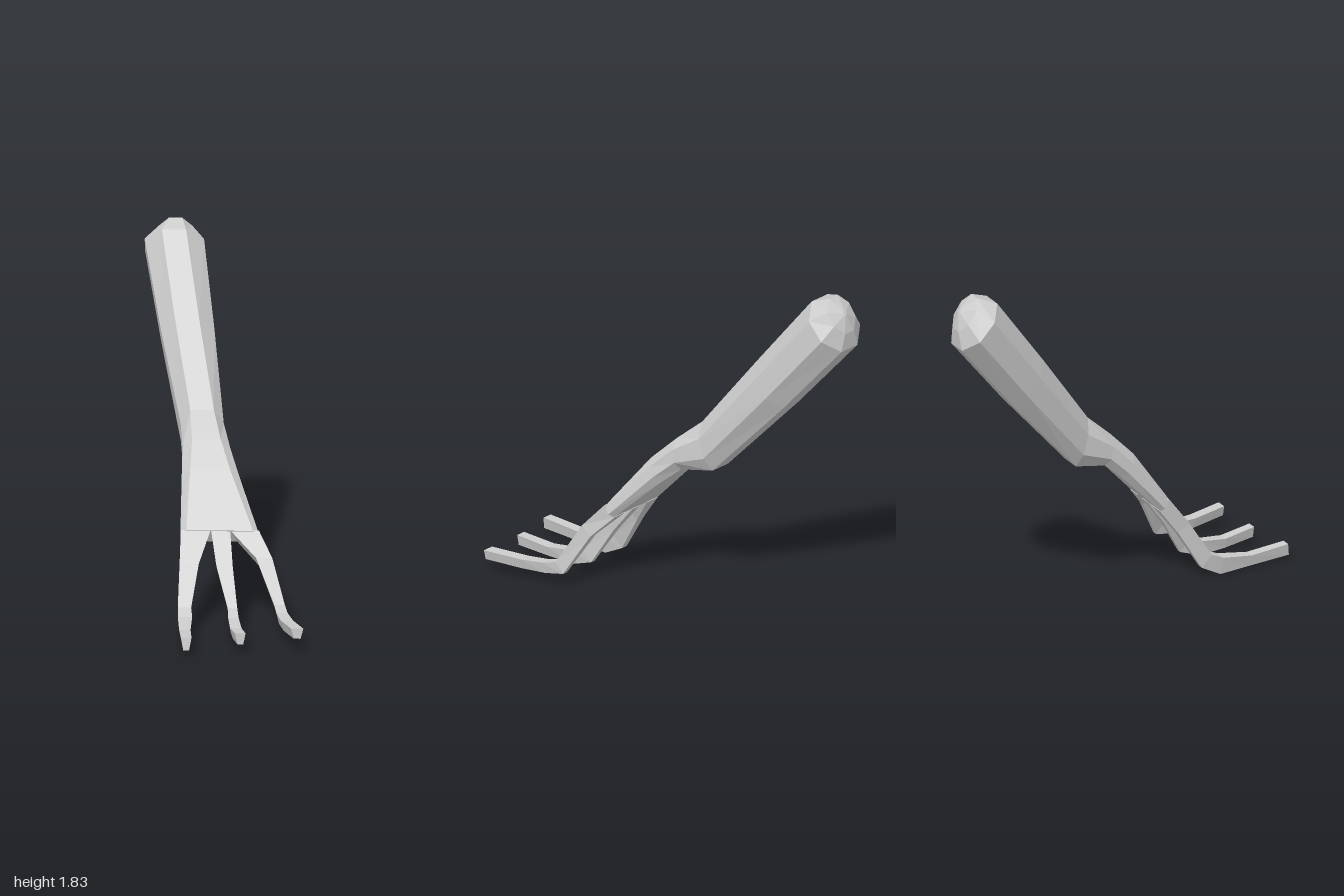
import * as THREE from 'three';

const material = new THREE.MeshStandardMaterial({ color: 0xcccccc, flatShading: true });

// Skin a list of equal-sized rings and close both ends.
function loft(name, rings) {
  const n = rings[0].length, pos = [];
  const tri = (a, b, c) => [a, b, c].forEach((p) => pos.push(p.x, p.y, p.z));
  for (let i = 0; i < rings.length - 1; i++) {
    for (let j = 0; j < n; j++) {
      const k = (j + 1) % n;
      tri(rings[i][j], rings[i][k], rings[i + 1][k]);
      tri(rings[i][j], rings[i + 1][k], rings[i + 1][j]);
    }
  }
  const first = rings[0], last = rings[rings.length - 1];
  for (let j = 1; j < n - 1; j++) {
    tri(first[0], first[j + 1], first[j]);
    tri(last[0], last[j], last[j + 1]);
  }
  const geometry = new THREE.BufferGeometry();
  geometry.setAttribute('position', new THREE.Float32BufferAttribute(pos, 3));
  geometry.computeVertexNormals();
  const mesh = new THREE.Mesh(geometry, material);
  mesh.name = name;
  return mesh;
}

// Eight-sided ring between an upper and a lower point; flat is the share of the width that is level.
function armRing([x0, x1, upY, upZ, lowY, lowZ, flat]) {
  const outline = [[1, -0.41], [1, 0.41], [flat, 1], [-flat, 1], [-1, 0.41], [-1, -0.41], [-flat, -1], [flat, -1]];
  return outline.map(([s, t]) => new THREE.Vector3(
    (x0 + x1) / 2 + s * (x1 - x0) / 2,
    (upY + lowY) / 2 + t * (upY - lowY) / 2,
    (upZ + lowZ) / 2 + t * (upZ - lowZ) / 2
  ));
}

// Four-sided ring, narrower underneath, hung from the middle of its top edge.
function fingerRing([x, y, z, width, dy, dz]) {
  const h = width / 2;
  return [[h, 0], [-h, 0], [-h * 0.55, 1], [h * 0.55, 1]].map(([s, t]) =>
    new THREE.Vector3(x + s, y - t * dy, z - t * dz));
}

export function createModel() {
  const group = new THREE.Group();
  group.name = 'clawedArm';

  // Rounded stump, forearm, wrist and spreading palm
  group.add(loft('forearmAndPalm', [
    [-0.29, -0.27, 1.775, -0.955, 1.755, -0.97, 0.41],
    [-0.37, -0.2, 1.835, -0.88, 1.665, -0.99, 0.41],
    [-0.445, -0.135, 1.8, -0.78, 1.57, -0.985, 0.41],
    [-0.35, -0.07, 1.4, -0.47, 1.18, -0.65, 0.45],
    [-0.235, -0.01, 1.0, -0.17, 0.74, -0.24, 0.55],
    [-0.22, 0.03, 0.88, -0.03, 0.71, -0.06, 0.6],
    [-0.22, 0.08, 0.75, 0.1, 0.63, 0.03, 0.7],
    [-0.22, 0.19, 0.48, 0.29, 0.41, 0.25, 0.85],
  ].map(armRing)));

  // Three fingers, bent at the knuckle to lie along the ground
  const fingers = {
    rightFinger: [
      [-0.14, 0.48, 0.285, 0.155, 0.07, 0.04],
      [-0.17, 0.33, 0.4, 0.1, 0.06, 0.05],
      [-0.19, 0.13, 0.53, 0.07, 0.07, 0.05],
      [-0.185, 0.1, 0.6, 0.075, 0.095, 0.01],
      [-0.18, 0.08, 0.77, 0.06, 0.06, 0],
      [-0.165, 0.1, 0.99, 0.055, 0.065, -0.01],
    ],
    middleFinger: [
      [-0.01, 0.48, 0.285, 0.1, 0.07, 0.04],
      [0.015, 0.32, 0.41, 0.085, 0.06, 0.05],
      [0.06, 0.13, 0.53, 0.05, 0.07, 0.05],
      [0.068, 0.1, 0.61, 0.055, 0.08, 0.01],
      [0.085, 0.085, 0.75, 0.06, 0.055, 0],
      [0.115, 0.11, 0.93, 0.055, 0.06, 0],
    ],
    leftFinger: [
      [0.115, 0.48, 0.285, 0.15, 0.07, 0.04],
      [0.22, 0.36, 0.38, 0.085, 0.06, 0.04],
      [0.305, 0.14, 0.5, 0.055, 0.06, 0.04],
      [0.32, 0.12, 0.58, 0.06, 0.06, 0.01],
      [0.35, 0.115, 0.7, 0.065, 0.055, 0],
      [0.41, 0.13, 0.9, 0.065, 0.055, 0],
    ],
  };
  for (const [name, rows] of Object.entries(fingers)) group.add(loft(name, rows.map(fingerRing)));

  return group;
}
